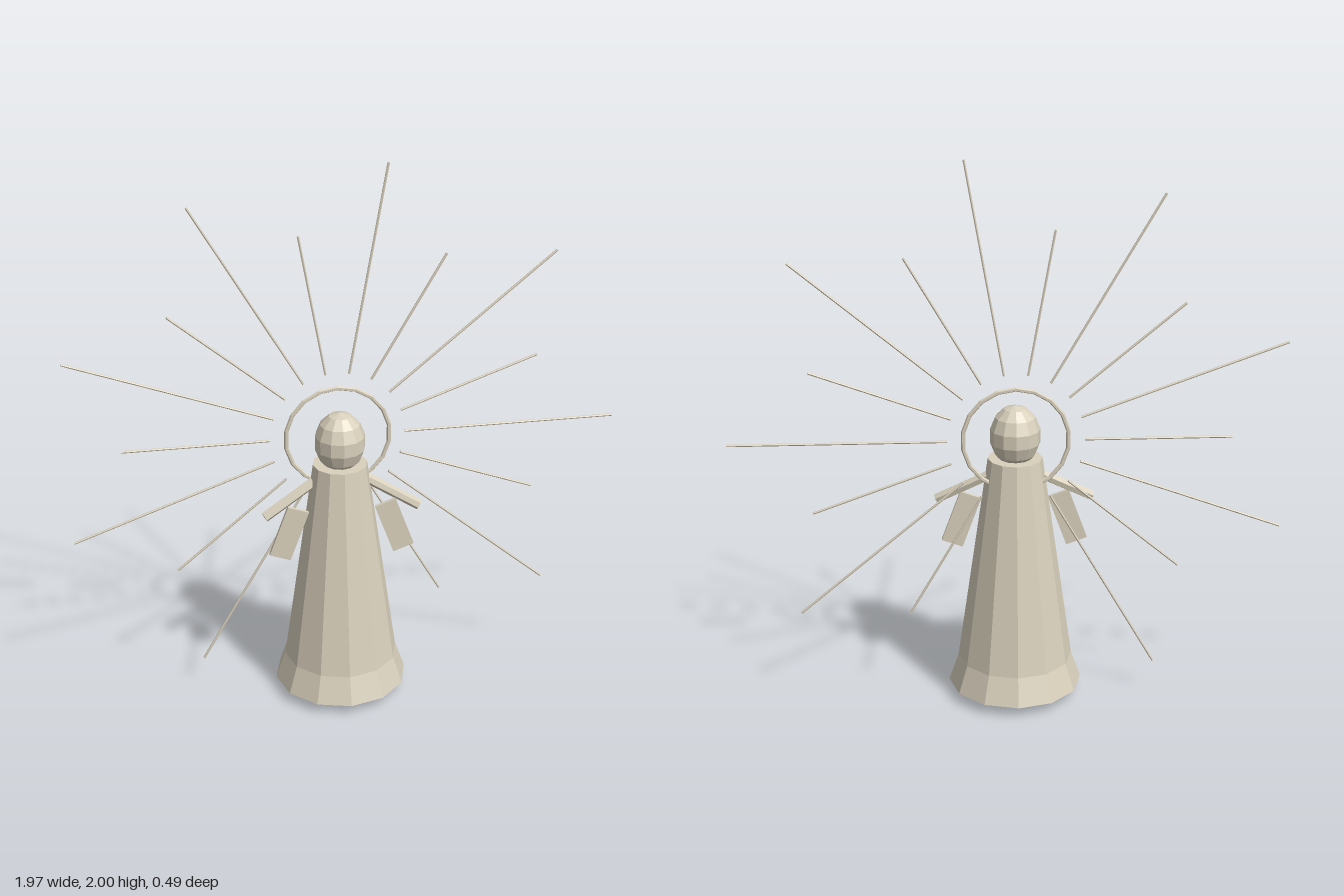
import * as THREE from 'three';

export function createModel() {
  const model = new THREE.Group();
  model.name = 'robedFigure';
  const stone = new THREE.MeshStandardMaterial({ color: 0xd9d0bc, flatShading: true });
  stone.name = 'pale stone';

  // Everything is built around the figure's axis, which sits slightly off centre
  const figure = new THREE.Group();
  figure.name = 'figure';
  figure.position.x = -0.03;
  model.add(figure);

  const add = (name, geometry, x = 0, y = 0, z = 0) => {
    const mesh = new THREE.Mesh(geometry, stone);
    mesh.name = name;
    mesh.position.set(x, y, z);
    figure.add(mesh);
    return mesh;
  };

  // Rod between two points
  const rod = (name, from, to, radius, sides) => {
    const dir = to.clone().sub(from);
    const mesh = add(name, new THREE.CylinderGeometry(radius, radius, dir.length(), sides));
    mesh.position.copy(from).addScaledVector(dir, 0.5);
    mesh.quaternion.setFromUnitVectors(new THREE.Vector3(0, 1, 0), dir.normalize());
    return mesh;
  };

  // Robe with flared hem, closed top and bottom
  const profile = [[0, 0.043], [0.243, 0.043], [0.208, 0.145], [0.098, 0.918], [0, 0.918]];
  add('robe', new THREE.LatheGeometry(profile.map(([r, y]) => new THREE.Vector2(r, y)), 12));

  // Head, slightly taller than wide
  add('head', new THREE.SphereGeometry(0.092, 12, 7).scale(1, 1.22, 1), 0, 1.002, 0);

  // Halo ring behind the head
  const halo = add('halo', new THREE.TorusGeometry(0.188, 0.008, 6, 18), 0, 1.001, -0.044);
  halo.rotation.z = Math.PI / 18;

  // Alternating long and short rays
  const hub = new THREE.Vector3(0, 1.001, -0.049);
  for (let i = 0; i < 18; i++) {
    const a = (i * Math.PI) / 9;
    const dir = new THREE.Vector3(Math.cos(a), Math.sin(a), 0);
    const at = (r) => hub.clone().addScaledVector(dir, r);
    rod('ray' + (i + 1), at(0.243), at(i % 2 ? 0.767 : 1.013), 0.0045, 6);
  }

  // Arms with hanging sleeve panels
  for (const [side, s] of [['left', 1], ['right', -1]]) {
    rod(side + 'Arm', new THREE.Vector3(s * 0.085, 0.857, 0),
      new THREE.Vector3(s * 0.28, 0.748, 0.047), 0.019, 6);
    const sleeve = add(side + 'Sleeve', new THREE.BoxGeometry(0.08, 0.2, 0.014), s * 0.192, 0.67, 0.038);
    sleeve.rotation.z = s * 0.35;
  }
  return model;
}
